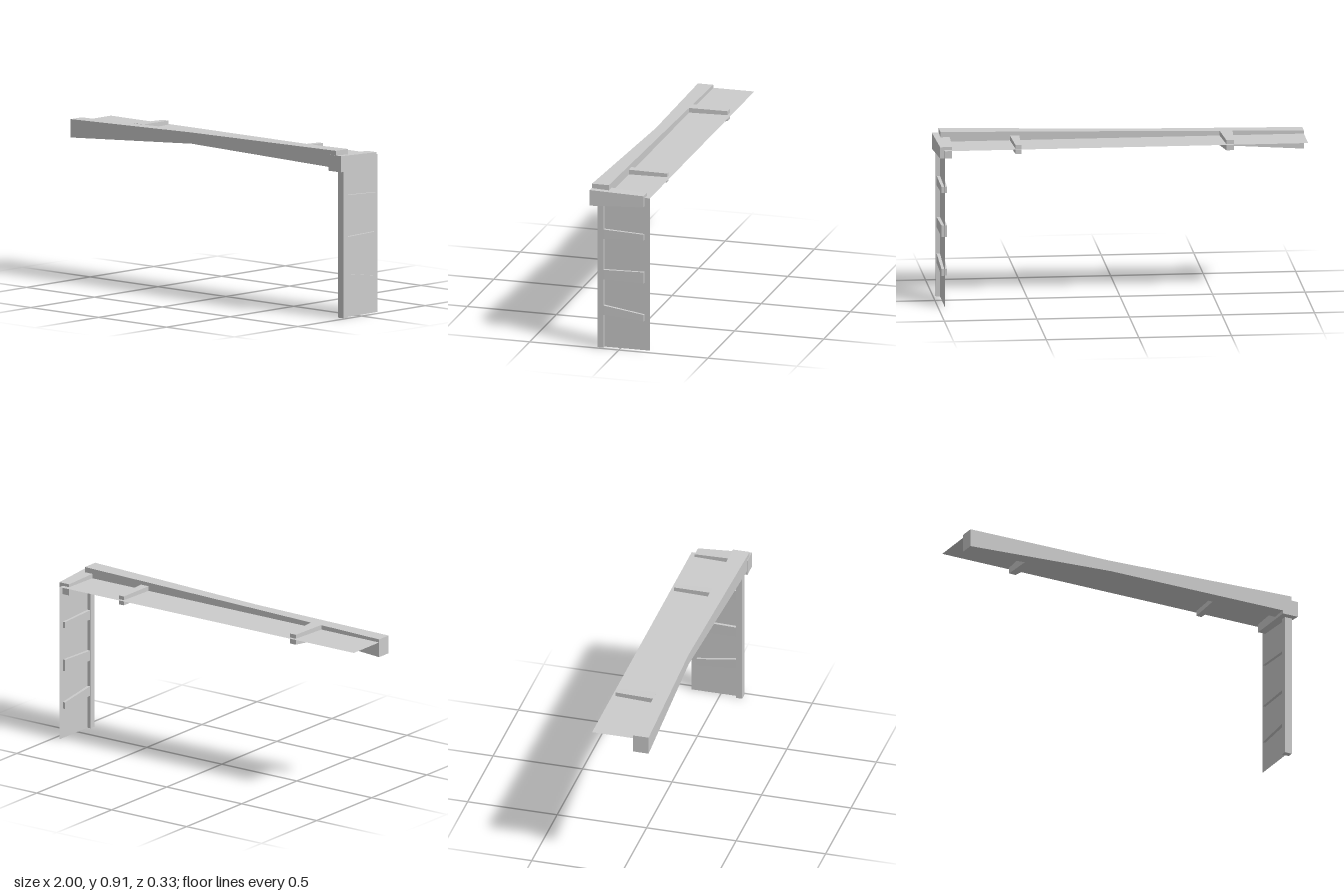
import * as THREE from 'three';

const material = new THREE.MeshStandardMaterial({ color: 0xcccccc, flatShading: true });
const sheetMaterial = new THREE.MeshStandardMaterial({ color: 0xcccccc, side: THREE.DoubleSide });
const lerp = THREE.MathUtils.lerp;

// Solid lofted through sections: each is { at, a: [min, max], y: [min, max] }.
// axis 'z': sections stand along z and a is the x range; axis 'x': a is the z range.
function loft(name, axis, sections) {
  const n = sections.length - 1;
  const geo = axis === 'x'
    ? new THREE.BoxGeometry(1, 1, 1, n, 1, 1)
    : new THREE.BoxGeometry(1, 1, 1, 1, 1, n);
  const p = geo.attributes.position;
  for (let i = 0; i < p.count; i++) {
    const u = p.getX(i) + 0.5, v = p.getY(i) + 0.5, w = p.getZ(i) + 0.5;
    const along = axis === 'x' ? u : w, across = axis === 'x' ? w : u;
    const s = sections[Math.round(along * n)];
    const a = lerp(s.a[0], s.a[1], across), y = lerp(s.y[0], s.y[1], v);
    p.setXYZ(i, axis === 'x' ? s.at : a, y, axis === 'x' ? a : s.at);
  }
  geo.computeVertexNormals();
  const mesh = new THREE.Mesh(geo, material);
  mesh.name = name;
  return mesh;
}

export function createModel() {
  const group = new THREE.Group();
  group.name = 'lintelAndPost';

  // Long beam, slimmer at the middle
  group.add(loft('beam', 'x', [
    { at: -1, a: [0.067, 0.153], y: [0.776, 0.876] },
    { at: -0.13, a: [0.067, 0.13], y: [0.832, 0.893] },
    { at: 0.963, a: [0.067, 0.161], y: [0.819, 0.913] },
  ]));

  // Thin roof sheet behind the beam
  const roof = new THREE.Mesh(new THREE.PlaneGeometry(1.963, 0.23), sheetMaterial);
  roof.name = 'roofPanel';
  roof.rotation.x = -Math.PI / 2;
  roof.position.set(-0.0185, 0.859, -0.048);
  group.add(roof);

  // Roof ribs running back through the sheet
  const roofRibs = [
    { back: [-0.6, -0.56], front: [-0.615, -0.545], yBack: [0.825, 0.881], yFront: [0.805, 0.885] },
    { back: [0.547, 0.579], front: [0.538, 0.588], yBack: [0.83, 0.88], yFront: [0.832, 0.885] },
  ];
  for (const r of roofRibs) {
    group.add(loft('roofRib', 'z', [
      { at: -0.145, a: r.back, y: r.yBack },
      { at: 0.067, a: r.front, y: r.yFront },
    ]));
  }

  // Corner block joining beam and post
  group.add(loft('cornerBlock', 'z', [
    { at: -0.134, a: [0.92, 0.985], y: [0.812, 0.875] },
    { at: 0.163, a: [0.91, 1], y: [0.8, 0.888] },
  ]));

  // Upright post
  group.add(loft('post', 'z', [
    { at: 0.091, a: [0.942, 0.984], y: [0, 0.82] },
    { at: 0.125, a: [0.942, 0.984], y: [0, 0.82] },
  ]));

  // Thin wall sheet behind the post
  const wall = new THREE.Mesh(new THREE.PlaneGeometry(0.254, 0.859), sheetMaterial);
  wall.name = 'wallPanel';
  wall.rotation.y = Math.PI / 2;
  wall.position.set(0.963, 0.4295, -0.036);
  group.add(wall);

  // Wall ribs running back through the sheet
  const wallRibs = [
    [[0.622, 0.656], [0.613, 0.666]],
    [[0.379, 0.443], [0.383, 0.438]],
    [[0.166, 0.203], [0.184, 0.237]],
  ];
  for (const [back, front] of wallRibs) {
    group.add(loft('wallRib', 'z', [
      { at: -0.133, a: [0.948, 0.978], y: back },
      { at: 0.091, a: [0.945, 0.981], y: front },
    ]));
  }
  return group;
}
